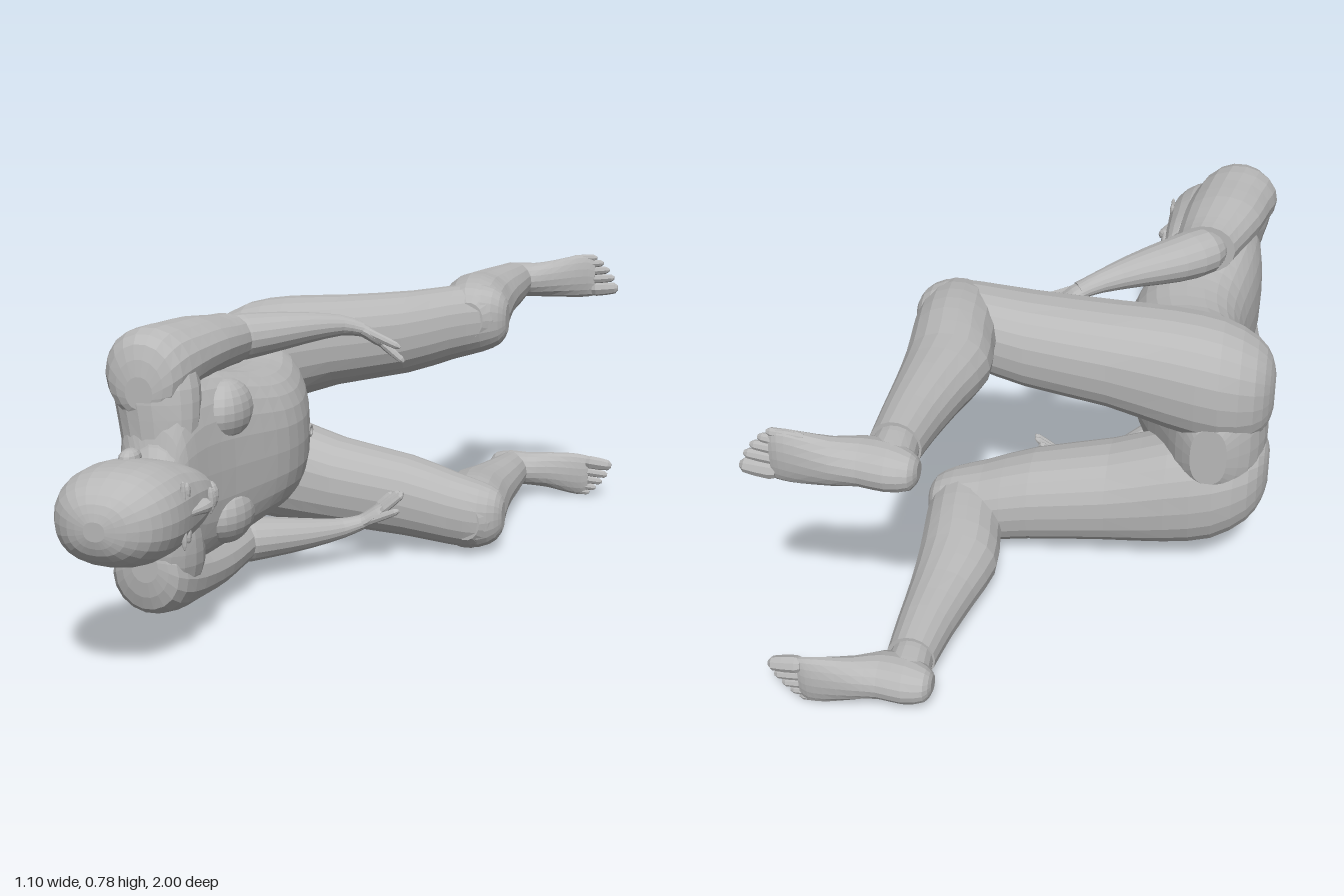
import * as THREE from 'three';

const MID = 0.397; // height of the body's plane of symmetry
const X_AXIS = new THREE.Vector3(1, 0, 0), Z_AXIS = new THREE.Vector3(0, 0, -1);
const SIDE_AXIS = new THREE.Vector3(0, 1, 0.0001).normalize(); // a hair off vertical keeps the ring frame defined
const squash = (v, e) => Math.sign(v) * Math.pow(Math.abs(v), e);

// Lofts oval rings [x, side, z, radius, sideRadius]; axis fixes the ring plane, otherwise rings follow the path.
// A power below 1 makes the ovals boxier.
function loft(rings, { axis = null, sides = 18, sub = 2, side = 1, power = 1 } = {}) {
  const path = new THREE.CatmullRomCurve3(rings.map(r => new THREE.Vector3(r[0], r[1], r[2])), false, 'catmullrom', 0.5);
  const radii = new THREE.CatmullRomCurve3(rings.map(r => new THREE.Vector3(r[3], r[4], 0)), false, 'catmullrom', 0.5);
  const n = (rings.length - 1) * sub, pos = [], idx = [];
  for (let i = 0; i <= n; i++) {
    const c = path.getPoint(i / n), r = radii.getPoint(i / n);
    const T = axis || path.getTangent(i / n);
    const B = new THREE.Vector3(0, 1, 0).addScaledVector(T, -T.y).normalize();
    const N = new THREE.Vector3().crossVectors(B, T);
    for (let j = 0; j < sides; j++) {
      const a = j / sides * Math.PI * 2;
      const p = c.clone().addScaledVector(N, r.x * squash(Math.cos(a), power))
        .addScaledVector(B, r.y * squash(Math.sin(a), power));
      pos.push(p.x, p.y * side, p.z);
    }
  }
  const tri = (a, b, c) => side > 0 ? idx.push(a, b, c) : idx.push(a, c, b);
  for (let i = 0; i < n; i++) for (let j = 0; j < sides; j++) {
    const k = (j + 1) % sides, a = i * sides, b = a + sides;
    tri(a + j, a + k, b + j);
    tri(a + k, b + k, b + j);
  }
  const first = pos.length / 3, last = n * sides;
  for (const p of [rings[0], rings[rings.length - 1]]) pos.push(p[0], p[1] * side, p[2]);
  for (let j = 0; j < sides; j++) {
    const k = (j + 1) % sides;
    tri(first, k, j);
    tri(first + 1, last + j, last + k);
  }
  const g = new THREE.BufferGeometry();
  g.setAttribute('position', new THREE.Float32BufferAttribute(pos, 3));
  g.setIndex(idx);
  return facet(g);
}

function facet(g) {
  const f = g.toNonIndexed();
  f.computeVertexNormals();
  return f;
}

// Rings across z from [z, back, front, halfWidth]
const slices = rows => rows.map(([z, b, f, w]) => [(b + f) / 2, 0, z, (f - b) / 2, w]);

export function createModel() {
  const model = new THREE.Group();
  model.name = 'recliningFigure';
  const body = new THREE.MeshStandardMaterial({ color: 0xb8b8b8 });
  body.name = 'body grey';

  const add = (parent, name, geometry) => {
    const m = new THREE.Mesh(geometry, body);
    m.name = name;
    parent.add(m);
    return m;
  };
  const ball = (parent, name, p, s, seg = 14) => {
    const g = new THREE.SphereGeometry(1, seg, Math.round(seg * 0.7));
    g.scale(...s);
    add(parent, name, facet(g)).position.set(...p);
  };

  const trunk = new THREE.Group();
  trunk.name = 'trunkAndHead';
  trunk.position.y = MID;
  model.add(trunk);

  // Trunk, with the front of the pelvis falling back towards the crotch
  add(trunk, 'torso', loft(slices([
    [0.6, -0.42, -0.3, 0.08], [0.572, -0.455, -0.28, 0.18], [0.5, -0.482, -0.258, 0.24],
    [0.4, -0.487, -0.225, 0.24], [0.3, -0.477, -0.185, 0.222], [0.2, -0.461, -0.15, 0.203],
    [0.1, -0.454, -0.142, 0.198], [0, -0.469, -0.16, 0.2], [-0.1, -0.51, -0.19, 0.215],
    [-0.2, -0.542, -0.235, 0.22], [-0.28, -0.537, -0.28, 0.2], [-0.345, -0.505, -0.32, 0.15], [-0.385, -0.45, -0.36, 0.08],
  ]), { axis: Z_AXIS, sides: 28, power: 0.8 }));
  add(trunk, 'neck', loft(slices([
    [0.74, -0.42, -0.27, 0.07], [0.66, -0.408, -0.29, 0.06], [0.615, -0.415, -0.295, 0.068],
    [0.585, -0.44, -0.285, 0.12], [0.54, -0.465, -0.27, 0.2],
  ]), { axis: Z_AXIS }));
  const navel = add(trunk, 'navel', facet(new THREE.TorusGeometry(0.014, 0.005, 6, 12)));
  navel.rotation.y = Math.PI / 2;
  navel.position.set(-0.165, 0, -0.02);

  // Head and face
  add(trunk, 'head', loft(slices([
    [0.998, -0.355, -0.305, 0.022], [0.985, -0.4, -0.26, 0.058], [0.95, -0.445, -0.215, 0.09],
    [0.9, -0.468, -0.19, 0.109], [0.85, -0.475, -0.18, 0.114], [0.8, -0.47, -0.178, 0.113],
    [0.76, -0.453, -0.179, 0.106], [0.72, -0.415, -0.179, 0.094], [0.68, -0.37, -0.182, 0.076],
    [0.65, -0.325, -0.187, 0.055], [0.635, -0.28, -0.205, 0.032],
  ]), { axis: Z_AXIS, sides: 24, power: 0.87 }));
  add(trunk, 'nose', loft([
    [-0.188, 0, 0.82, 0.008, 0.009], [-0.178, 0, 0.78, 0.012, 0.011],
    [-0.174, 0, 0.745, 0.018, 0.018], [-0.18, 0, 0.73, 0.01, 0.014],
  ], { axis: Z_AXIS, sides: 10 }));
  ball(trunk, 'upperLip', [-0.179, 0, 0.699], [0.01, 0.032, 0.008], 10);
  ball(trunk, 'lowerLip', [-0.18, 0, 0.685], [0.01, 0.026, 0.009], 10);
  ball(trunk, 'chin', [-0.197, 0, 0.655], [0.022, 0.034, 0.02], 12);

  for (const s of [1, -1]) {
    ball(trunk, 'eye', [-0.19, s * 0.05, 0.81], [0.008, 0.021, 0.01], 10);
    ball(trunk, 'brow', [-0.19, s * 0.05, 0.835], [0.007, 0.03, 0.005], 10);
    ball(trunk, 'ear', [-0.34, s * 0.11, 0.775], [0.024, 0.02, 0.038], 12);
    ball(trunk, 'breast', [-0.268, s * 0.13, 0.35], [0.064, 0.08, 0.11], 18);

    const limbs = new THREE.Group();
    limbs.name = s > 0 ? 'upperSideLimbs' : 'lowerSideLimbs';
    limbs.position.y = MID;
    model.add(limbs);
    const part = (name, rings, options = {}) => add(limbs, name, loft(rings, { side: s, ...options }));

    // Shoulder bridge and arm
    part('shoulder', [
      [-0.37, 0.06, 0.535, 0.09, 0.06], [-0.377, 0.15, 0.515, 0.103, 0.08],
      [-0.387, 0.22, 0.5, 0.108, 0.09], [-0.392, 0.28, 0.49, 0.095, 0.075],
    ], { axis: SIDE_AXIS });
    part('upperArm', [
      [-0.395, 0.215, 0.592, 0.035, 0.04], [-0.397, 0.24, 0.573, 0.083, 0.09], [-0.4, 0.262, 0.51, 0.11, 0.098],
      [-0.384, 0.275, 0.42, 0.11, 0.085], [-0.368, 0.28, 0.32, 0.106, 0.078],
      [-0.347, 0.277, 0.22, 0.09, 0.07], [-0.336, 0.275, 0.165, 0.08, 0.069],
    ], { axis: Z_AXIS });
    part('forearm', [
      [-0.375, 0.275, 0.2, 0.03, 0.03], [-0.335, 0.275, 0.16, 0.066, 0.06], [-0.26, 0.28, 0.085, 0.066, 0.056],
      [-0.17, 0.286, 0.005, 0.048, 0.042], [-0.09, 0.285, -0.065, 0.031, 0.028], [-0.04, 0.272, -0.095, 0.028, 0.02],
    ]);
    part('palm', [
      [-0.06, 0.28, -0.085, 0.024, 0.018], [-0.03, 0.265, -0.1, 0.032, 0.018],
      [0, 0.242, -0.112, 0.036, 0.015], [0.015, 0.23, -0.118, 0.032, 0.01],
    ], { sides: 12 });
    const digit = (name, a, b, r) => {
      const at = t => a.map((v, i) => v + (b[i] - v) * t);
      part(name, [[0, 0.8], [0.15, 1], [0.55, 0.95], [0.88, 0.8], [1, 0.35]].map(([t, k]) => [...at(t), r * k, r * k]),
        { sides: 8, sub: 1 });
    };
    [[0.076, 0.186, -0.1], [0.073, 0.184, -0.117], [0.057, 0.187, -0.136], [0.032, 0.197, -0.153]].forEach((tip, i) =>
      digit('finger', [0.018 - i * 0.008, 0.236, -0.092 - i * 0.016], tip, 0.0105));
    digit('thumb', [-0.03, 0.27, -0.085], [0.07, 0.228, -0.085], 0.012);

    // Leg
    part('thigh', [
      [-0.552, 0.115, -0.235, 0.025, 0.045], [-0.54, 0.118, -0.24, 0.066, 0.088], [-0.505, 0.13, -0.25, 0.108, 0.124],
      [-0.42, 0.152, -0.262, 0.136, 0.152], [-0.3, 0.178, -0.267, 0.136, 0.148], [-0.15, 0.208, -0.272, 0.129, 0.126],
      [0.05, 0.238, -0.283, 0.117, 0.114], [0.18, 0.27, -0.292, 0.102, 0.102], [0.26, 0.284, -0.295, 0.088, 0.092],
      [0.305, 0.284, -0.3, 0.06, 0.07], [0.322, 0.284, -0.3, 0.03, 0.04],
    ], { axis: X_AXIS, sides: 22, power: 0.87 });
    part('calf', [
      [0.23, 0.288, -0.21, 0.04, 0.05], [0.226, 0.288, -0.25, 0.085, 0.085], [0.22, 0.289, -0.33, 0.1, 0.1],
      [0.212, 0.292, -0.42, 0.101, 0.099], [0.202, 0.294, -0.52, 0.101, 0.088], [0.214, 0.3, -0.64, 0.083, 0.078],
      [0.228, 0.303, -0.76, 0.068, 0.07], [0.236, 0.306, -0.865, 0.058, 0.062],
    ], { axis: Z_AXIS });
    part('ankle', [
      [0.235, 0.306, -0.83, 0.05, 0.052], [0.234, 0.306, -0.88, 0.052, 0.054], [0.234, 0.306, -0.95, 0.058, 0.05],
    ], { axis: Z_AXIS });
    part('foot', [
      [0.165, 0.305, -0.94, 0.02, 0.02], [0.18, 0.305, -0.945, 0.042, 0.04], [0.23, 0.306, -0.935, 0.062, 0.052],
      [0.29, 0.307, -0.928, 0.06, 0.052], [0.35, 0.311, -0.944, 0.043, 0.057], [0.42, 0.319, -0.953, 0.028, 0.066],
      [0.46, 0.322, -0.954, 0.021, 0.066], [0.48, 0.318, -0.954, 0.013, 0.058],
    ], { axis: X_AXIS });
    [[0.284, 0.552, 0.021], [0.315, 0.54, 0.0145], [0.339, 0.524, 0.0135], [0.36, 0.505, 0.013], [0.376, 0.485, 0.0125]]
      .forEach(([y, tip, r]) => digit('toe', [tip - 0.08, y - 0.005, -0.954], [tip, y + 0.003, -0.953], r));
  }
  return model;
}
